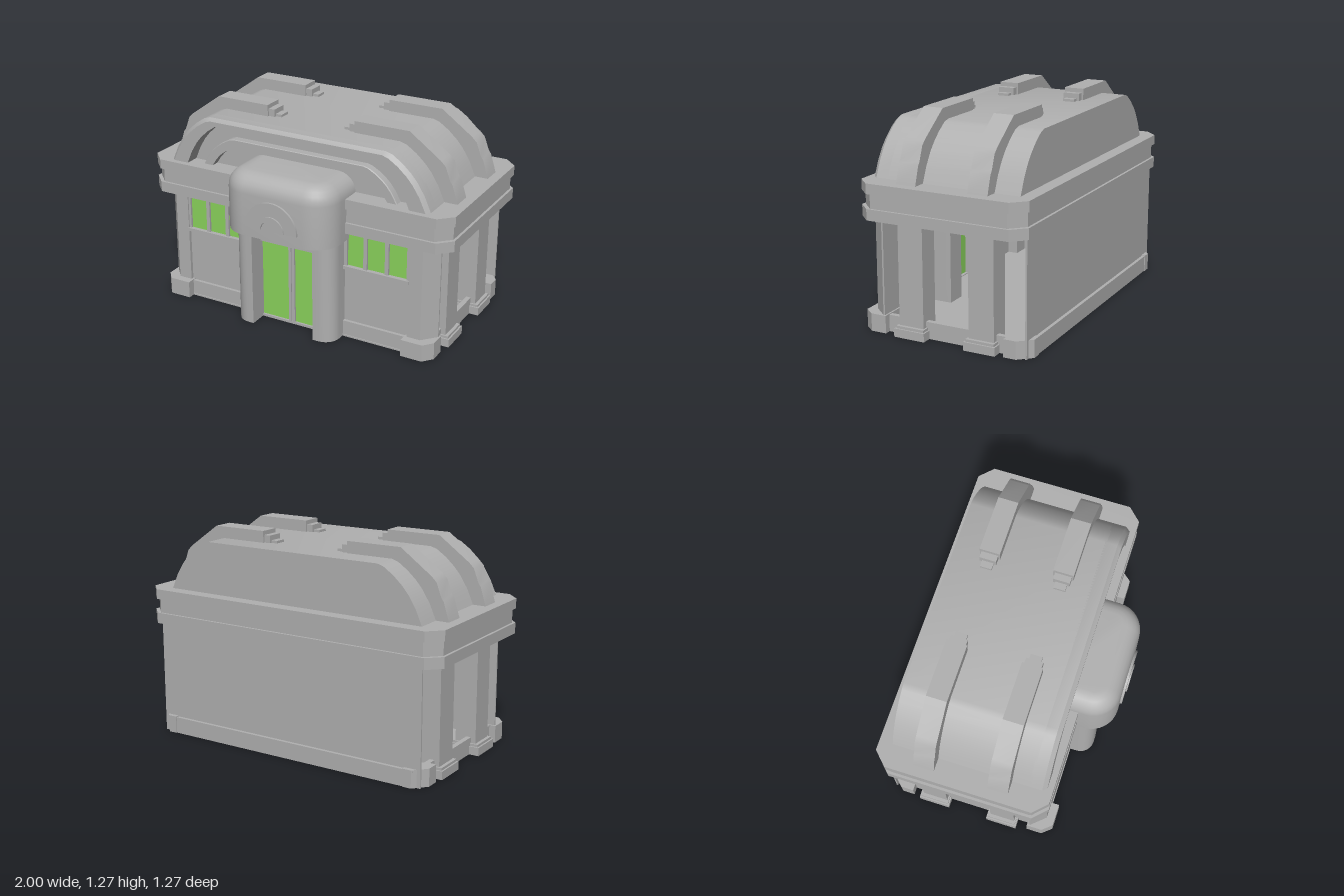
import * as THREE from 'three';
import { toCreasedNormals } from 'three/addons/utils/BufferGeometryUtils.js';

const stone = new THREE.MeshStandardMaterial({ color: 0xb0b0b0 });
stone.name = 'grey stone';
const glass = new THREE.MeshStandardMaterial({ color: 0x8ad35c });
glass.name = 'green glass';

export function createModel() {
  const model = new THREE.Group();

  const add = (name, geometry, material = stone) => {
    const mesh = new THREE.Mesh(geometry, material);
    mesh.name = name;
    model.add(mesh);
    return mesh;
  };
  // Box given by its limits
  const box = (name, x0, x1, y0, y1, z0, z1, material) => {
    const g = new THREE.BoxGeometry(Math.abs(x1 - x0), y1 - y0, z1 - z0);
    g.translate((x0 + x1) / 2, (y0 + y1) / 2, (z0 + z1) / 2);
    return add(name, g, material);
  };
  const shapeOf = (pts) => new THREE.Shape(pts.map(([a, b]) => new THREE.Vector2(a, b)));
  // Plan outline of [x, z] raised from y0 to y1
  const slab = (name, pts, y0, y1) => {
    const g = new THREE.ExtrudeGeometry(shapeOf(pts.map(([x, z]) => [x, -z])), { depth: y1 - y0, bevelEnabled: false });
    g.rotateX(-Math.PI / 2).translate(0, y0, 0);
    return add(name, toCreasedNormals(g, 0.6));
  };
  // Front outline of [x, y] pushed from z0 to z1
  const plate = (name, shape, z0, z1) => {
    const g = new THREE.ExtrudeGeometry(shape, { depth: z1 - z0, bevelEnabled: false, curveSegments: 16 });
    g.translate(0, 0, z0);
    return add(name, toCreasedNormals(g, 0.6));
  };
  // Skin between matching closed loops, with optional flat end caps
  const loft = (name, loops, caps) => {
    const v = [];
    const n = loops[0].length;
    for (let k = 0; k + 1 < loops.length; k++) {
      for (let i = 0; i < n; i++) {
        const j = (i + 1) % n;
        const [a, b, c, d] = [loops[k][i], loops[k][j], loops[k + 1][j], loops[k + 1][i]];
        v.push(...a, ...b, ...d, ...b, ...c, ...d);
      }
    }
    if (caps) {
      const first = loops[0], last = loops[loops.length - 1];
      for (let i = 1; i + 1 < n; i++) {
        v.push(...last[0], ...last[i], ...last[i + 1]);
        v.push(...first[0], ...first[i + 1], ...first[i]);
      }
    }
    const g = new THREE.BufferGeometry();
    g.setAttribute('position', new THREE.Float32BufferAttribute(v, 3));
    g.computeVertexNormals();
    return add(name, toCreasedNormals(g, 0.6));
  };

  // Floor and rear wall
  box('floor', -0.87, 0.87, 0, 0.01, -0.61, 0.38);
  box('rearWall', -0.9, 0.9, 0, 0.68, -0.61, -0.6);
  box('rearPlinth', -0.86, 0.86, 0, 0.1, -0.63, -0.6);

  // Cornice: three chamfered bands
  const octagon = (d) => {
    const x = 1 - d, f = 0.405 - d, b = -0.63 + d, c = 0.08;
    return [[x, f - c], [x - c, f], [c - x, f], [-x, f - c], [-x, b + c], [c - x, b], [x - c, b], [x, b + c]];
  };
  slab('corniceLower', octagon(0), 0.68, 0.745);
  slab('corniceMiddle', octagon(0.015), 0.745, 0.83);
  slab('corniceUpper', octagon(0), 0.83, 0.89);

  // Vaulted roof
  const half = [[0.86, 0], [0.82, 0.29], [0.775, 0.52], [0.735, 0.67], [0.68, 0.83], [0.62, 0.96], [0.58, 1]];
  const vault = (s, top) => {
    const right = half.map(([x, t]) => [x * s, 0.89 + t * (top - 0.89)]);
    return [...right, ...right.map(([x, y]) => [-x, y]).reverse()];
  };
  const at = (pts, z) => pts.map(([x, y]) => [x, y, z]);
  plate('roofVault', shapeOf(vault(1, 1.2)), -0.55, 0.28);
  const arch = (name, s0, t0, s1, t1, front, bevel) => loft(name, [
    at(vault(s0, t0), 0.27),
    at(vault(s0, t0), front - bevel),
    at(vault(s0 - bevel, t0 - bevel * 0.7), front),
    at(vault(s1, t1), front),
    at(vault(s1, t1), 0.27),
  ]);
  arch('roofFrontArch', 1, 1.2, 0.86, 1.165, 0.37, 0.025);
  arch('roofInnerArch', 0.75, 1.08, 0.68, 1.037, 0.33, 0.005);

  // Roof ribs with stepped inner ends
  const rib = [[0.94, 0.89], [0.905, 1], [0.89, 1.02], [0.86, 1.1], [0.83, 1.13], [0.635, 1.27],
    [0.29, 1.27], [0.29, 1.15], [0.55, 1.15], [0.75, 0.89]];
  for (const s of [-1, 1]) {
    for (const z of [0.106, -0.335]) {
      plate('roofRib', shapeOf(rib.map(([x, y]) => [s * x, y])), z - 0.061, z + 0.061);
      box('roofRibStep', s * 0.25, s * 0.29, 1.15, 1.245, z - 0.05, z + 0.05);
      box('roofRibTip', s * 0.21, s * 0.25, 1.15, 1.215, z - 0.035, z + 0.035);
    }
  }

  // Entrance hood, rounded in plan and at the top
  const hoodLoop = (inset, y) => {
    const w = 0.36 - inset, f = 0.612 - inset, r = 0.165 - inset;
    const pts = [[-w, y, 0.18]];
    for (const s of [-1, 1]) {
      for (let i = 0; i <= 8; i++) {
        const a = ((s < 0 ? i : 8 - i) / 8) * Math.PI / 2;
        pts.push([s * (w - r + r * Math.cos(a)), y, f - r + r * Math.sin(a)]);
      }
    }
    pts.push([w, y, 0.18]);
    return pts;
  };
  const hood = [hoodLoop(0, 0.63)];
  for (let i = 0; i <= 6; i++) {
    const a = (i / 6) * Math.PI / 2;
    hood.push(hoodLoop(0.11 * (1 - Math.cos(a)), 0.89 + 0.11 * Math.sin(a)));
  }
  loft('entranceHood', hood, true);

  // Half-round ornament on the hood
  const halfRing = (r0, r1) => {
    const s = new THREE.Shape();
    s.absarc(0, 0.7, r1, 0, Math.PI, false);
    if (r0) s.absarc(0, 0.7, r0, Math.PI, 0, true);
    s.closePath();
    return s;
  };
  plate('hoodOrnament', halfRing(0, 0.17), 0.59, 0.625);
  plate('hoodOrnamentRing', halfRing(0.062, 0.088), 0.62, 0.633);

  // Entrance doors
  box('doorHeader', -0.205, 0.205, 0.53, 0.63, 0.36, 0.4);
  box('doorTopRail', -0.205, 0.205, 0.51, 0.53, 0.37, 0.41);
  box('doorSill', -0.205, 0.205, 0, 0.015, 0.36, 0.4);
  for (const s of [-1, 1]) {
    box('doorStile', s * 0.003, s * 0.02, 0, 0.53, 0.37, 0.4);
    box('doorPane', s * 0.02, s * 0.205, 0.015, 0.51, 0.38, 0.388, glass);
  }
  box('doorMeetingGap', -0.003, 0.003, 0, 0.53, 0.37, 0.393);

  for (const s of [-1, 1]) {
    const side = (pts) => pts.map(([x, z]) => [s * x, z]);

    // Entrance jamb with a rounded outer corner
    const jamb = [[0.205, 0.18], [0.205, 0.51]];
    for (let i = 0; i <= 6; i++) {
      const a = (i / 6) * Math.PI / 2;
      jamb.push([0.245 + 0.09 * Math.sin(a), 0.42 + 0.09 * Math.cos(a)]);
    }
    jamb.push([0.335, 0.18]);
    slab('entranceJamb', side(jamb), 0, 0.63);

    // Front wall and its three-pane window
    box('frontWall', s * 0.33, s * 0.76, 0, 0.44, 0.335, 0.355);
    box('frontPlinth', s * 0.33, s * 0.76, 0, 0.1, 0.34, 0.375);
    box('windowSill', s * 0.33, s * 0.755, 0.44, 0.46, 0.335, 0.38);
    box('windowHead', s * 0.33, s * 0.755, 0.672, 0.685, 0.335, 0.37);
    box('windowPanes', s * 0.34, s * 0.745, 0.46, 0.675, 0.345, 0.353, glass);
    for (const [a, b] of [[0.335, 0.355], [0.46, 0.483], [0.597, 0.62], [0.735, 0.755]]) {
      box('windowMullion', s * a, s * b, 0.46, 0.68, 0.335, 0.367);
    }

    // Front corner column and chamfered corner plinths
    slab('cornerColumn', side([[0.75, 0.28], [0.75, 0.375], [0.835, 0.375], [0.91, 0.29], [0.91, 0.28]]), 0, 0.68);
    slab('frontCornerPlinth', side([[0.735, 0.27], [0.735, 0.425], [0.87, 0.425], [0.92, 0.365], [0.92, 0.27]]), 0, 0.105);
    slab('rearCornerPlinth', side([[0.8, -0.56], [0.8, -0.635], [0.855, -0.635], [0.925, -0.556], [0.925, -0.48], [0.86, -0.48]]), 0, 0.105);

    // Open side: low wall and two pillars on stepped bases
    box('sideLowWall', s * 0.85, s * 0.88, 0, 0.1, -0.5, 0.29);
    for (const z of [0.105, -0.338]) {
      box('sidePillar', s * 0.78, s * 0.91, 0, 0.68, z - 0.078, z + 0.078);
      box('pillarBase', s * 0.76, s * 0.94, 0, 0.05, z - 0.097, z + 0.097);
      box('pillarBaseStep', s * 0.765, s * 0.93, 0.05, 0.065, z - 0.088, z + 0.088);
    }
  }
  return model;
}
